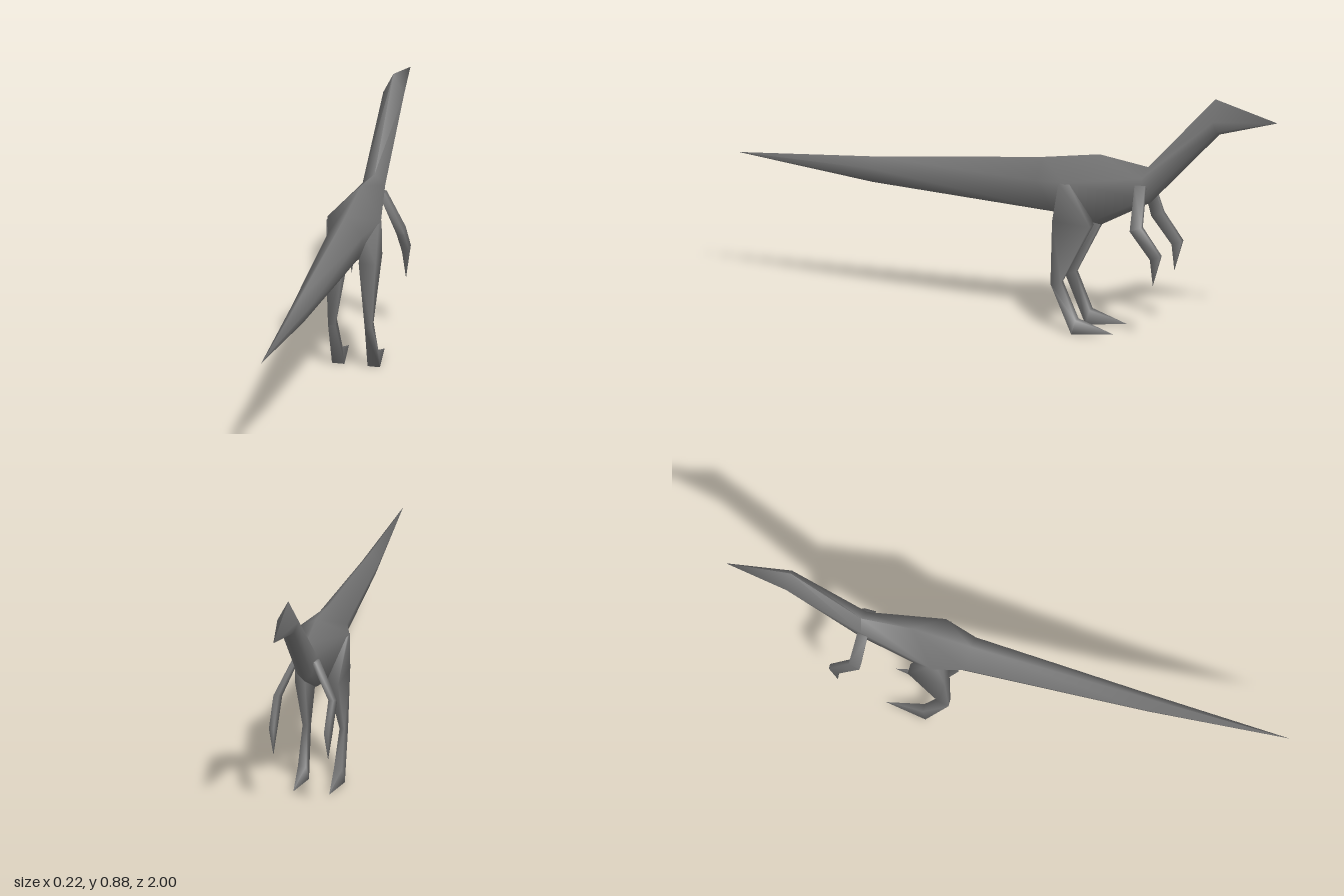
import * as THREE from 'three';
import { mergeVertices, toCreasedNormals } from 'three/addons/utils/BufferGeometryUtils.js';

const material = new THREE.MeshStandardMaterial({ color: 0x767676 });

// Closed skin over rings of equal point count; a tip is a ring whose points coincide
function loft(name, rings) {
  const n = rings[0].length, tris = [];
  for (let i = 0; i < rings.length - 1; i++) {
    for (let j = 0; j < n; j++) {
      const k = (j + 1) % n, [a, b] = [rings[i], rings[i + 1]];
      tris.push([a[j], a[k], b[k]], [a[j], b[k], b[j]]);
    }
  }
  const first = rings[0], last = rings[rings.length - 1];
  for (let j = 1; j < n - 1; j++) {
    tris.push([first[0], first[j + 1], first[j]], [last[0], last[j], last[j + 1]]);
  }
  // Drop collapsed triangles, then turn the skin outward
  const V = (p) => new THREE.Vector3(...p);
  const solid = tris.filter(([a, b, c]) =>
    V(b).sub(V(a)).cross(V(c).sub(V(a))).length() > 1e-9);
  const centre = V(first[0]);
  const volume = solid.reduce((s, [a, b, c]) =>
    s + V(a).sub(centre).dot(V(b).sub(centre).cross(V(c).sub(centre))), 0);
  const points = solid.flatMap(([a, b, c]) => (volume < 0 ? [a, c, b] : [a, b, c])).flat();
  const geometry = new THREE.BufferGeometry();
  geometry.setAttribute('position', new THREE.Float32BufferAttribute(points, 3));
  const mesh = new THREE.Mesh(toCreasedNormals(mergeVertices(geometry), 1.75), material);
  mesh.name = name;
  return mesh;
}

// Six-point body section: top [y,z], side [x,y,z], low [x,y,z], bottom [y,z]
const section = ([top, side, low, bottom]) => [
  [0, ...top], side, low, [0, ...bottom],
  [-low[0], low[1], low[2]], [-side[0], side[1], side[2]],
];

// Limb section: rear [y,z], front [y,z], inner x, outer x, narrower in front
const limbSection = (side) => ([rear, front, xin, xout, taper = 0.65]) => {
  const mid = (xin + xout) / 2, h = (xout - xin) / 2;
  return [
    [side * (mid - h), ...rear], [side * (mid + h), ...rear],
    [side * (mid + h * taper), ...front], [side * (mid - h * taper), ...front],
  ];
};

export function createModel() {
  const group = new THREE.Group();
  group.name = 'longNeckedDinosaur';

  // Tail, torso, neck and head as one tapering skin
  const body = [
    [[0.477, 1], [0, 0.477, 1], [0, 0.477, 1], [0.477, 1]],
    [[0.522, 0.5], [0.03, 0.487, 0.5], [0.017, 0.443, 0.5], [0.43, 0.5]],
    [[0.597, -0.13], [0.062, 0.53, -0.13], [0.027, 0.42, -0.17], [0.405, -0.19]],
    [[0.632, -0.34], [0.095, 0.545, -0.245], [0.035, 0.4, -0.33], [0.38, -0.345]],
    [[0.608, -0.52], [0.04, 0.575, -0.51], [0.025, 0.5, -0.52], [0.482, -0.53]],
    [[0.882, -0.77], [0.037, 0.81, -0.775], [0.022, 0.77, -0.78], [0.757, -0.785]],
    [[0.823, -1], [0, 0.823, -1], [0, 0.823, -1], [0.823, -1]],
  ];
  group.add(loft('body', body.map(section)));

  // Hip, thigh, knee, heel and pointed toe
  const leg = [
    [[0.54, -0.225], [0.54, -0.265], 0.03, 0.092, 1],
    [[0.4, -0.2], [0.39, -0.335], 0.028, 0.088, 0.6],
    [[0.17, -0.19], [0.18, -0.228], 0.052, 0.078],
    [[0, -0.27], [0.05, -0.282], 0.041, 0.085],
    [[0.013, -0.415], [0.013, -0.415], 0.063, 0.063],
  ];

  // Shoulder, elbow, wrist and claw
  const arm = [
    [[0.55, -0.488], [0.55, -0.525], 0.022, 0.045],
    [[0.405, -0.497], [0.42, -0.537], 0.083, 0.11],
    [[0.312, -0.572], [0.325, -0.607], 0.083, 0.11],
    [[0.215, -0.577], [0.215, -0.577], 0.096, 0.096],
  ];

  for (const [label, side] of [['left', 1], ['right', -1]]) {
    group.add(loft(label + 'Leg', leg.map(limbSection(side))));
    group.add(loft(label + 'Arm', arm.map(limbSection(side))));
  }
  return group;
}
